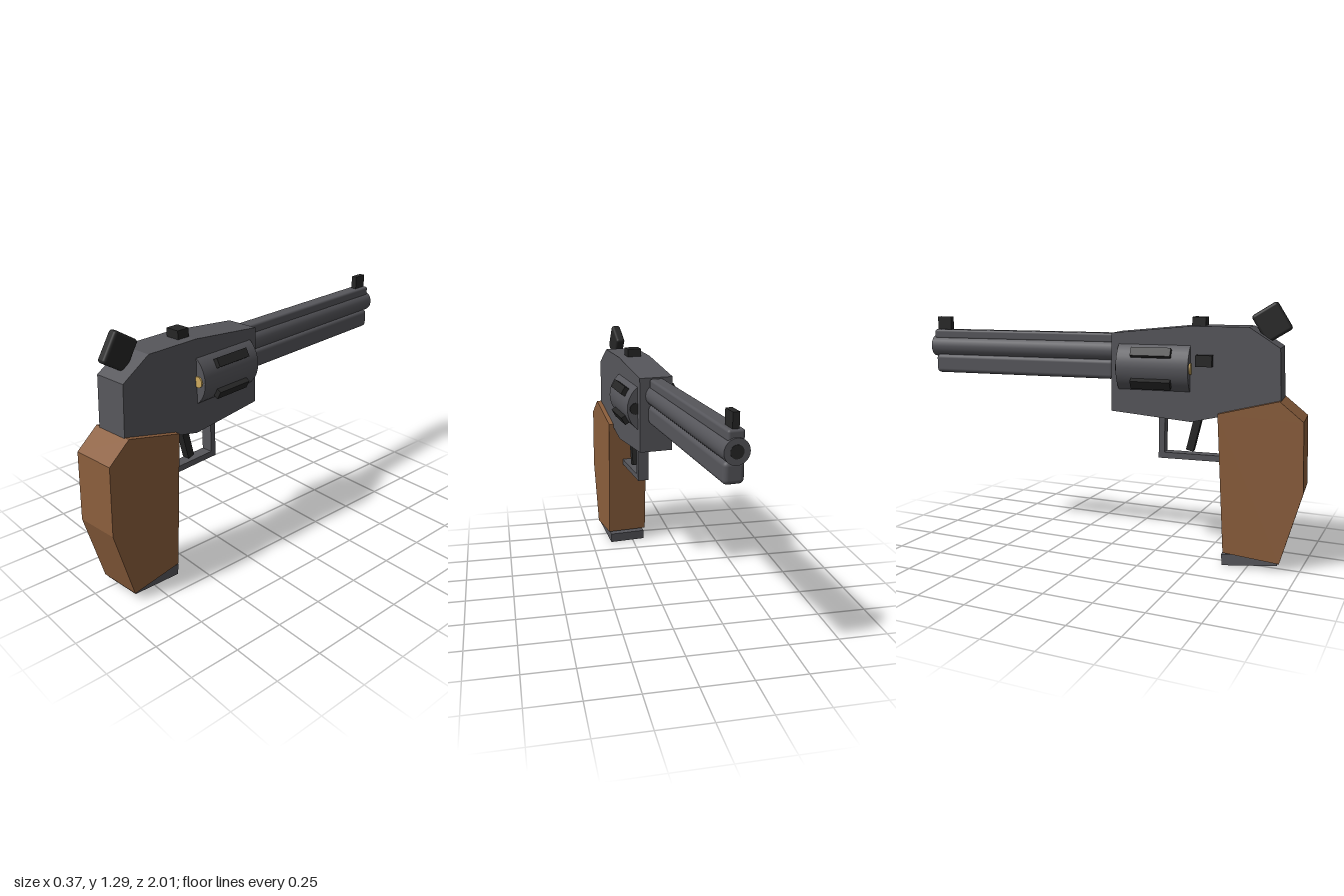
import * as THREE from 'three';
import { RoundedBoxGeometry } from 'three/addons/geometries/RoundedBoxGeometry.js';

const material = (color, flatShading = false) => new THREE.MeshStandardMaterial({ color, flatShading });

export function createModel() {
  const model = new THREE.Group();
  const steel = material(0x56565b);
  const flatSteel = material(0x56565b, true);
  const dark = material(0x262626);
  const wood = material(0x8b5e3c, true);
  const brass = material(0xcfab5e);

  // The whole piece is turned slightly about the vertical axis
  const body = new THREE.Group();
  body.name = 'body';
  body.rotation.y = 0.103;
  body.position.x = -0.03;
  model.add(body);

  function add(name, geometry, mat, x, y, z, tilt = 0, parent = body) {
    const mesh = new THREE.Mesh(geometry, mat);
    mesh.name = name;
    mesh.position.set(x, y, z);
    mesh.rotation.x = tilt;
    parent.add(mesh);
    return mesh;
  }
  const box = (w, h, d) => new THREE.BoxGeometry(w, h, d);
  const rod = (r, length, sides) => new THREE.CylinderGeometry(r, r, length, sides).rotateX(Math.PI / 2);

  // Side profile of [z, y] points, extruded across the width
  function slab(points, width) {
    const shape = new THREE.Shape(points.map(([z, y]) => new THREE.Vector2(z, y)));
    return new THREE.ExtrudeGeometry(shape, { depth: width, bevelEnabled: false })
      .translate(0, 0, -width / 2)
      .rotateY(-Math.PI / 2);
  }

  // Frame
  add('frame', slab([
    [0.04, 0.745], [0.45, 0.71], [0.6, 0.745], [0.87, 0.7],
    [0.88, 0.83], [0.868, 1.08], [0.72, 1.175], [0.44, 1.175], [0.04, 1.135],
  ], 0.175), flatSteel, 0, 0, 0);

  // Grip and butt plate
  add('grip', slab([
    [0.585, 0.76], [0.627, 0.07], [0.902, 0.042], [1.002, 0.4], [0.99, 0.742], [0.876, 0.835],
  ], 0.226), wood, 0, 0, 0);
  add('buttPlate', box(0.205, 0.055, 0.27), flatSteel, 0, 0.042, 0.755, -0.1);

  // Barrel, top rib and under lug
  add('barrel', rod(0.057, 1.045, 24), steel, 0, 1.042, -0.477);
  add('bore', rod(0.03, 0.01, 20), dark, 0, 1.042, -0.996);
  add('topRib', new RoundedBoxGeometry(0.075, 0.05, 1.03, 3, 0.012), steel, 0, 1.105, -0.475);
  add('underLug', new RoundedBoxGeometry(0.094, 0.1, 1.02, 3, 0.022), steel, 0, 0.948, -0.472);

  // Sights
  add('frontSight', box(0.03, 0.08, 0.078), dark, 0, 1.158, -0.94);
  add('rearSight', box(0.075, 0.05, 0.067), dark, 0, 1.192, 0.47);

  // Cylinder with raised bars and six chambers
  const drum = new THREE.Group();
  drum.name = 'cylinder';
  drum.position.set(0, 0.97, 0.261);
  body.add(drum);
  add('cylinderBody', rod(0.143, 0.362, 32), steel, 0, 0, 0, 0, drum);
  for (let i = 0; i < 6; i++) {
    const a = (i * Math.PI) / 3;
    const b = a + Math.PI / 6;
    const bar = add('cylinderBar', box(0.034, 0.045, 0.2), dark, 0.15 * Math.cos(b), 0.15 * Math.sin(b), -0.005, 0, drum);
    bar.rotation.z = b;
    const x = 0.1 * Math.cos(a), y = 0.1 * Math.sin(a);
    add('cartridgeBase', rod(0.027, 0.02, 16), brass, x, y, 0.178, 0, drum);
    add('chamberMouth', rod(0.03, 0.02, 16), dark, x, y, -0.178, 0, drum);
  }

  // Hammer, trigger, guard and side latch
  add('hammer', new RoundedBoxGeometry(0.05, 0.152, 0.14, 3, 0.015), dark, 0, 1.195, 0.815, -0.56);
  add('trigger', box(0.04, 0.17, 0.038), dark, 0, 0.635, 0.45, 0.23);
  add('guardPost', box(0.06, 0.23, 0.03), flatSteel, 0, 0.622, 0.289);
  add('guardBar', box(0.06, 0.03, 0.35), flatSteel, 0, 0.522, 0.452);
  add('latch', box(0.045, 0.055, 0.08), dark, -0.098, 1.012, 0.513);

  return model;
}
